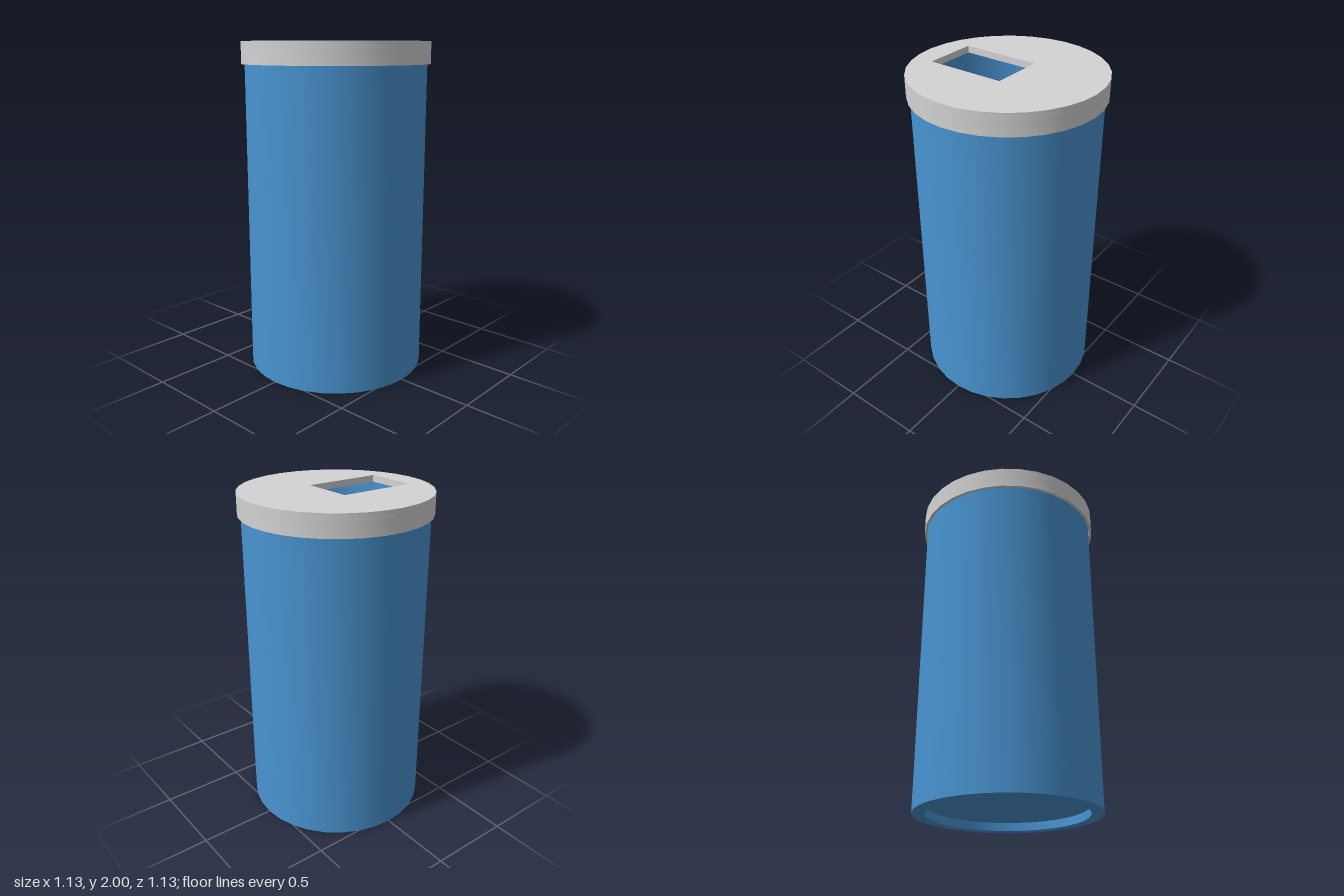
import * as THREE from 'three';
import { toCreasedNormals } from 'three/addons/utils/BufferGeometryUtils.js';

const SIDES = 32;

// Turned solid from a profile of [radius, height], with sharp rims and smooth walls
function turned(profile, material, name) {
  const points = profile.map(([r, y]) => new THREE.Vector2(r, y));
  const geometry = toCreasedNormals(new THREE.LatheGeometry(points, SIDES), 0.5);
  const mesh = new THREE.Mesh(geometry, material);
  mesh.name = name;
  return mesh;
}

export function createModel() {
  const blue = new THREE.MeshStandardMaterial({ color: 0x4994d1 });
  blue.name = 'blue body';
  const grey = new THREE.MeshStandardMaterial({ color: 0xd3d3d3 });
  grey.name = 'light grey lid';

  const model = new THREE.Group();
  model.name = 'bin';

  // Hollow body with a floor raised above the foot ring
  const R = 0.543, inner = 0.47;
  model.add(turned([
    [0, 0.05], [inner, 0.05], [inner, 0], [R, 0],
    [R, 1.96], [inner, 1.96], [inner, 0.1], [0, 0.1],
  ], blue, 'body'));

  // Lid: a plate with a rectangular opening towards the front, and a rim below it
  const lid = new THREE.Group();
  lid.name = 'lid';
  const lidR = 0.563;
  const disc = new THREE.Shape();
  disc.absarc(0, 0, lidR, 0, Math.PI * 2);
  const opening = new THREE.Path([
    [-0.16, -0.415], [-0.16, 0.063], [0.16, 0.063], [0.16, -0.415],
  ].map(([x, y]) => new THREE.Vector2(x, y)));
  opening.closePath();
  disc.holes.push(opening);
  const plateGeometry = new THREE.ExtrudeGeometry(disc, {
    depth: 0.04, bevelEnabled: false, curveSegments: SIDES / 2,
  });
  plateGeometry.rotateX(-Math.PI / 2).translate(0, 1.96, 0);
  const plate = new THREE.Mesh(toCreasedNormals(plateGeometry, 0.5), grey);
  plate.name = 'lidPlate';
  lid.add(plate);

  lid.add(turned([
    [0.546, 1.96], [0.546, 1.87], [lidR, 1.87], [lidR, 1.96],
  ], grey, 'lidRim'));
  model.add(lid);

  return model;
}
